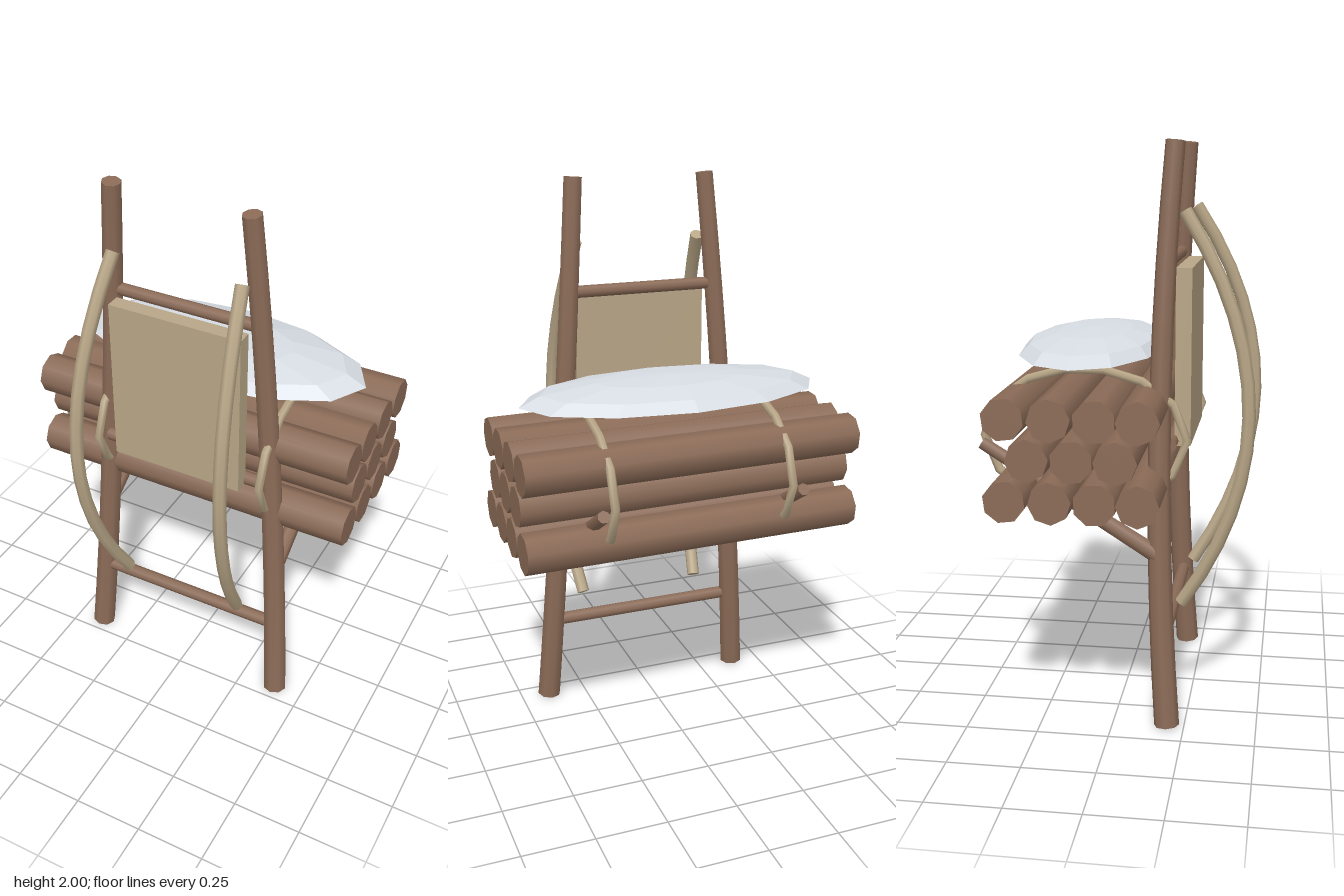
import * as THREE from 'three';

const wood = new THREE.MeshStandardMaterial({ color: 0x8b6b57 });
wood.name = 'brown wood';
const straw = new THREE.MeshStandardMaterial({ color: 0xb8a687 });
straw.name = 'pale straw';
const snow = new THREE.MeshStandardMaterial({ color: 0xd8dde4, flatShading: true });
snow.name = 'snow';

const V = (x, y, z) => new THREE.Vector3(x, y, z);

// Capped round stick, bent along a curve and tapering from r0 to r1
function stick(curve, r0, r1, sides, segments) {
  const geo = new THREE.CylinderGeometry(r1, r0, 1, sides, segments);
  const pos = geo.attributes.position, nor = geo.attributes.normal;
  const up = V(0, 1, 0), q = new THREE.Quaternion(), p = V(0, 0, 0);
  for (let i = 0; i < pos.count; i++) {
    const t = THREE.MathUtils.clamp(pos.getY(i) + 0.5, 0, 1);
    q.setFromUnitVectors(up, curve.getTangent(t).normalize());
    p.set(pos.getX(i), 0, pos.getZ(i)).applyQuaternion(q).add(curve.getPoint(t));
    pos.setXYZ(i, p.x, p.y, p.z);
    p.fromBufferAttribute(nor, i).applyQuaternion(q);
    nor.setXYZ(i, p.x, p.y, p.z);
  }
  return geo;
}

const bow = (a, b, c) => new THREE.QuadraticBezierCurve3(a, b, c);
const line = (a, b) => new THREE.LineCurve3(a, b);

// Closed oval in the yz plane, for the ropes
class Oval extends THREE.Curve {
  constructor(x) { super(); this.x = x; }
  getPoint(t, target = new THREE.Vector3()) {
    const a = t * Math.PI * 2;
    return target.set(this.x, 1.01 + 0.24 * Math.sin(a), -0.105 + 0.35 * Math.cos(a));
  }
}

export function createModel() {
  const model = new THREE.Group();
  model.name = 'loadedCarryingFrame';
  const add = (name, geo, mat, parent = model) => {
    const mesh = new THREE.Mesh(geo, mat);
    mesh.name = name;
    parent.add(mesh);
    return mesh;
  };

  // Mirrored parts
  for (const [side, s] of [['left', 1], ['right', -1]]) {
    add(side + 'Rail', stick(bow(V(s * 0.392, 0.004, 0.19), V(s * 0.325, 1, 0.112),
      V(s * 0.246, 1.998, 0.19)), 0.044, 0.033, 8, 10), wood);
    add(side + 'SupportArm', stick(line(V(s * 0.36, 0.615, 0.15), V(s * 0.36, 0.99, -0.455)),
      0.03, 0.022, 7, 1), wood);
    add(side + 'ShoulderStrap', stick(bow(V(s * 0.233, 0.4, 0.222), V(s * 0.318, 1.085, 0.675),
      V(s * 0.233, 1.77, 0.222)), 0.024, 0.024, 7, 12), straw);
    add(side + 'Rope', new THREE.TubeGeometry(new Oval(s * 0.32), 14, 0.016, 6, true), straw);
  }

  // Rungs: y, z, half length, radius
  const rungs = [[0.325, 0.175, 0.36, 0.024], [0.99, 0.185, 0.31, 0.024], [1.6, 0.165, 0.28, 0.022]];
  rungs.forEach(([y, z, half, r]) =>
    add('rung', stick(line(V(-half, y, z), V(half, y, z)), r, r, 8, 1), wood));

  // Woven back pad
  add('backPad', new THREE.BoxGeometry(0.49, 0.61, 0.055), straw).position.set(0, 1.278, 0.222);

  // Stacked logs, three rows
  const logs = new THREE.Group();
  logs.name = 'logStack';
  model.add(logs);
  const logGeo = new THREE.CylinderGeometry(0.072, 0.072, 1.208, 8);
  logGeo.rotateZ(Math.PI / 2);
  const wide = [0.107, -0.033, -0.18, -0.33], narrow = [0.035, -0.107, -0.253];
  [[0.85, wide], [0.99, narrow], [1.123, wide]].forEach(([y, row]) => row.forEach((z, i) => {
    const log = add('log', logGeo, wood, logs);
    log.position.set(0, y, z);
    log.rotation.set(i * 0.35, 0.01, -0.005, 'ZYX');
  }));

  // Snow lying on the load: faceted dome with a flat underside
  const cap = new THREE.Group();
  cap.name = 'snowCap';
  cap.position.set(0, 1.28, -0.118);
  cap.scale.set(0.545, 0.07, 0.257);
  model.add(cap);
  add('snowDome', new THREE.SphereGeometry(1, 12, 3, 0, Math.PI * 2, 0, Math.PI / 2), snow, cap);
  add('snowUnderside', new THREE.CircleGeometry(1, 12).rotateX(Math.PI / 2), snow, cap);

  return model;
}
